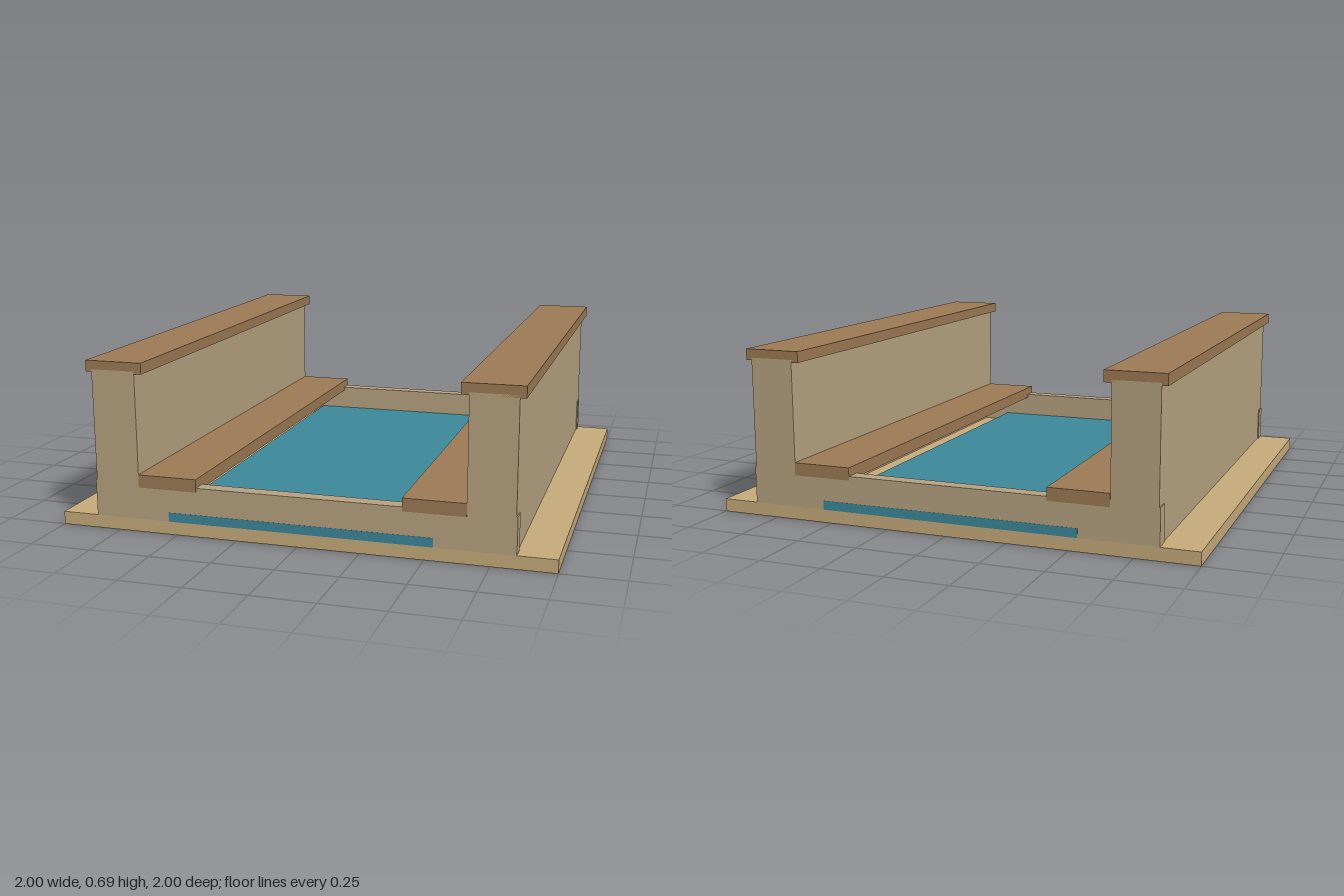
import * as THREE from 'three';

const material = (color) => new THREE.MeshStandardMaterial({ color });

export function createModel() {
  const model = new THREE.Group();
  model.name = 'waterChannel';

  const sand = material(0xc8ad7c);
  const stone = material(0xb8a482);
  const brick = material(0x9e7b55);
  const blue = material(0x3d8a9c);

  // Box given by its extents on each axis
  const block = (name, mat, [x0, x1], [y0, y1], [z0, z1]) => {
    const mesh = new THREE.Mesh(new THREE.BoxGeometry(x1 - x0, y1 - y0, z1 - z0), mat);
    mesh.position.set((x0 + x1) / 2, (y0 + y1) / 2, (z0 + z1) / 2);
    mesh.name = name;
    model.add(mesh);
  };

  const length = [-1, 1];
  const flush = [-1.001, 1.001]; // just proud of the end sills

  // Ground slab and water sheet
  block('groundSlab', sand, [-1, 1], [0, 0.053], length);
  block('water', blue, [-0.535, 0.535], [0.053, 0.09], flush);

  // Low sills closing both ends of the channel
  block('frontSill', stone, [-0.848, 0.848], [0.053, 0.2], [0.94, 1]);
  block('backSill', stone, [-0.848, 0.848], [0.053, 0.2], [-1, -0.94]);

  // Side walls with coping and inner walkway, mirrored
  for (const [side, s] of [['left', 1], ['right', -1]]) {
    const span = (a, b) => (s > 0 ? [a, b] : [-b, -a]);
    block(side + 'Wall', stone, span(0.66, 0.843), [0.053, 0.65], length);
    block(side + 'Coping', brick, span(0.63, 0.867), [0.64, 0.685], length);
    block(side + 'Walkway', brick, span(0.415, 0.66), [0.183, 0.235], flush);
  }
  return model;
}
